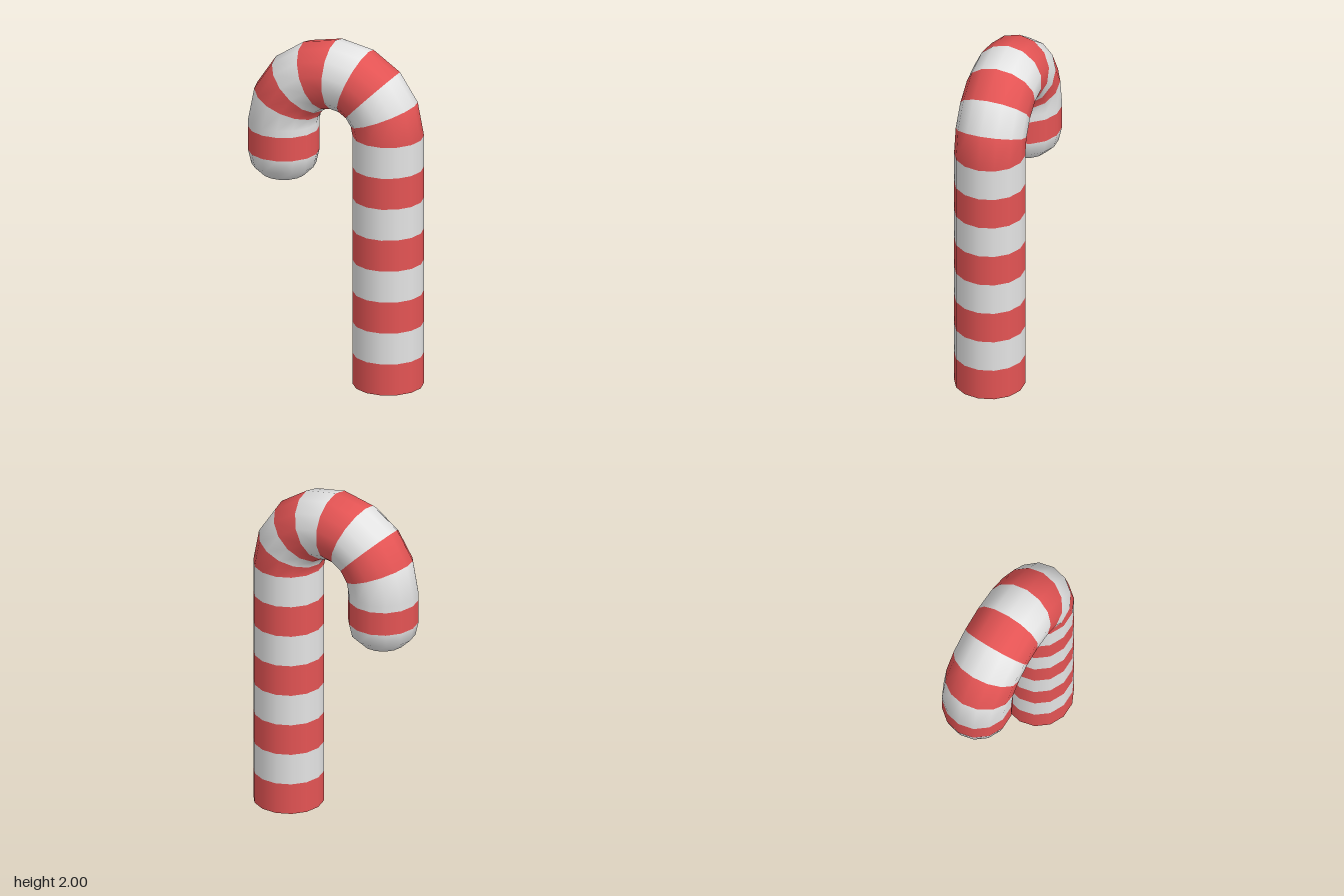
import * as THREE from 'three';

const SIDES = 14, TUBE = 0.2, BEND = 0.32, BEND_Y = 1.48;

// A ring of the cane: centre, direction of its outer side, radius and normal tilt
const ring = (x, y, angle, r = TUBE, tilt = 0) => ({ x, y, angle, r, tilt });

// Skin a run of rings with smooth radial normals
function skin(rings) {
  const pos = [], nor = [], idx = [];
  for (const { x, y, angle, r, tilt } of rings) {
    const out = new THREE.Vector3(Math.cos(angle), Math.sin(angle), 0);
    const along = new THREE.Vector3(-out.y, out.x, 0);
    for (let j = 0; j <= SIDES; j++) {
      const t = (j / SIDES) * Math.PI * 2;
      const radial = out.clone().multiplyScalar(Math.cos(t));
      radial.z = Math.sin(t);
      pos.push(x + radial.x * r, y + radial.y * r, radial.z * r);
      const n = radial.multiplyScalar(Math.cos(tilt)).addScaledVector(along, Math.sin(tilt));
      nor.push(n.x, n.y, n.z);
    }
  }
  const w = SIDES + 1;
  for (let i = 0; i < rings.length - 1; i++) {
    for (let j = 0; j < SIDES; j++) {
      const a = i * w + j, b = a + 1, c = a + w, d = c + 1;
      idx.push(a, c, b, b, c, d);
    }
  }
  const g = new THREE.BufferGeometry();
  g.setAttribute('position', new THREE.Float32BufferAttribute(pos, 3));
  g.setAttribute('normal', new THREE.Float32BufferAttribute(nor, 3));
  g.setIndex(idx);
  return g;
}

export function createModel() {
  const red = new THREE.MeshStandardMaterial({ color: 0xe45454 });
  red.name = 'red';
  const white = new THREE.MeshStandardMaterial({ color: 0xe4e4e4 });
  white.name = 'white';

  const group = new THREE.Group();
  group.name = 'candyCane';
  const add = (name, geometry, material) => {
    const mesh = new THREE.Mesh(geometry, material);
    mesh.name = name;
    group.add(mesh);
  };

  // Straight shaft: eight equal stripes
  const step = BEND_Y / 8;
  for (let i = 0; i < 8; i++) {
    add('shaftStripe' + (i + 1),
      skin([ring(BEND, i * step, 0), ring(BEND, (i + 1) * step, 0)]),
      i % 2 ? white : red);
  }

  // Hook: eight stripes over a half circle
  const onBend = (a) => ring(BEND * Math.cos(a), BEND_Y + BEND * Math.sin(a), a);
  for (let i = 0; i < 8; i++) {
    add('hookStripe' + (i + 1),
      skin([onBend((i * Math.PI) / 8), onBend(((i + 1) * Math.PI) / 8)]),
      i % 2 ? white : red);
  }

  // Short straight end of the hook
  const end = (y, r, tilt) => ring(-BEND, y, Math.PI, r, tilt);
  add('endWhiteStripe', skin([end(BEND_Y), end(1.44)]), white);
  add('endRedStripe', skin([end(1.44), end(1.3)]), red);

  // Rounded end with a shallow tip
  add('roundedEnd', skin([end(1.3, 0.2, 0.1), end(1.22, 0.182, 0.5), end(1.16, 0.12, 0.85)]), white);
  add('endTip', skin([end(1.16, 0.12, 1.38), end(1.137, 0, 1.38)]), white);

  // Flat base
  const base = new THREE.CircleGeometry(TUBE, SIDES);
  base.rotateX(Math.PI / 2);
  base.translate(BEND, 0, 0);
  add('base', base, white);

  return group;
}
